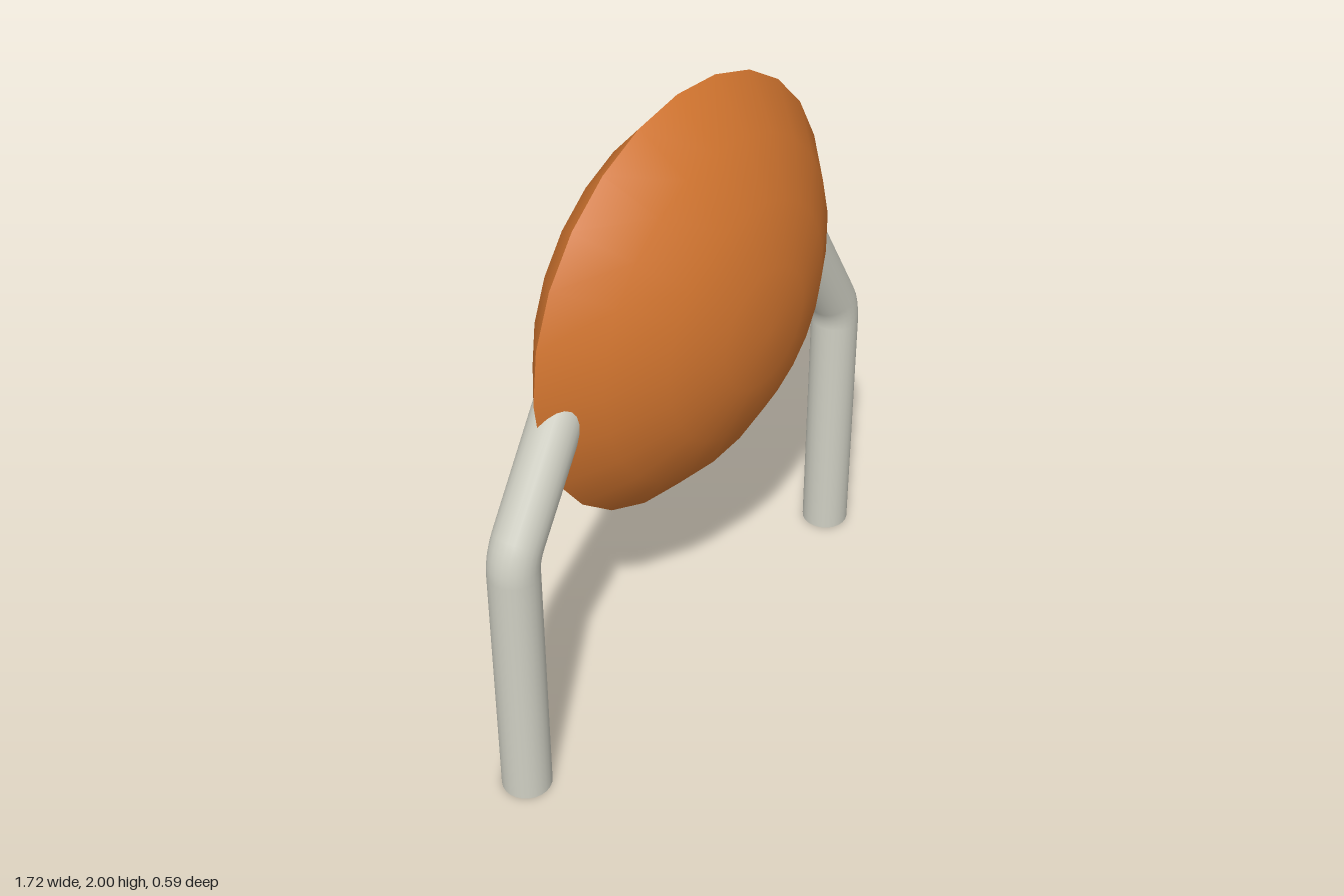
import * as THREE from 'three';

const RIM = 0.667, DEPTH = 0.295, LENS_Y = 1.333;
const LEG_R = 0.076, LEG_X = 0.784, BEND_Y = 0.83, BEND_R = 0.2, BEND = Math.PI / 6;
const SIDES = 24;

function addMesh(parent, name, geometry, material) {
  const mesh = new THREE.Mesh(geometry, material);
  mesh.name = name;
  parent.add(mesh);
  return mesh;
}

// Lens-shaped disc: two shallow spherical caps meeting in a sharp rim
function createDisc(material) {
  const disc = new THREE.Group();
  disc.name = 'disc';
  const radius = (RIM * RIM + DEPTH * DEPTH) / (2 * DEPTH);
  const angle = Math.asin(RIM / radius);
  for (const side of [1, -1]) {
    const cap = new THREE.SphereGeometry(radius, 25, 4, 0, Math.PI * 2, 0, angle);
    cap.translate(0, DEPTH - radius, 0);
    cap.rotateX(side * Math.PI / 2);
    addMesh(disc, side > 0 ? 'discFront' : 'discBack', cap, material);
  }
  disc.position.y = LENS_Y;
  return disc;
}

// Round leg: upright post, short elbow, and an arm leaning into the disc
function createLeg(name, material) {
  const leg = new THREE.Group();
  leg.name = name;

  const post = new THREE.CylinderGeometry(LEG_R, LEG_R, BEND_Y, SIDES);
  addMesh(leg, 'post', post, material).position.set(LEG_X, BEND_Y / 2, 0);

  const elbow = new THREE.TorusGeometry(BEND_R, LEG_R, SIDES, 4, BEND);
  addMesh(leg, 'elbow', elbow, material).position.set(LEG_X - BEND_R, BEND_Y, 0);

  const length = 0.5;
  const arm = new THREE.CylinderGeometry(LEG_R, LEG_R, length, SIDES);
  arm.translate(0, length / 2, 0);
  const armMesh = addMesh(leg, 'arm', arm, material);
  armMesh.position.set(
    LEG_X - BEND_R + BEND_R * Math.cos(BEND), BEND_Y + BEND_R * Math.sin(BEND), 0);
  armMesh.rotation.z = BEND;
  return leg;
}

export function createModel() {
  const model = new THREE.Group();
  model.name = 'discOnLegs';
  const orange = new THREE.MeshStandardMaterial({ color: 0xd2752f });
  const paleGrey = new THREE.MeshStandardMaterial({ color: 0xcfcfc3 });

  model.add(createDisc(orange));
  model.add(createLeg('leftLeg', paleGrey));
  const rightLeg = createLeg('rightLeg', paleGrey);
  rightLeg.rotation.y = Math.PI;
  model.add(rightLeg);
  return model;
}
